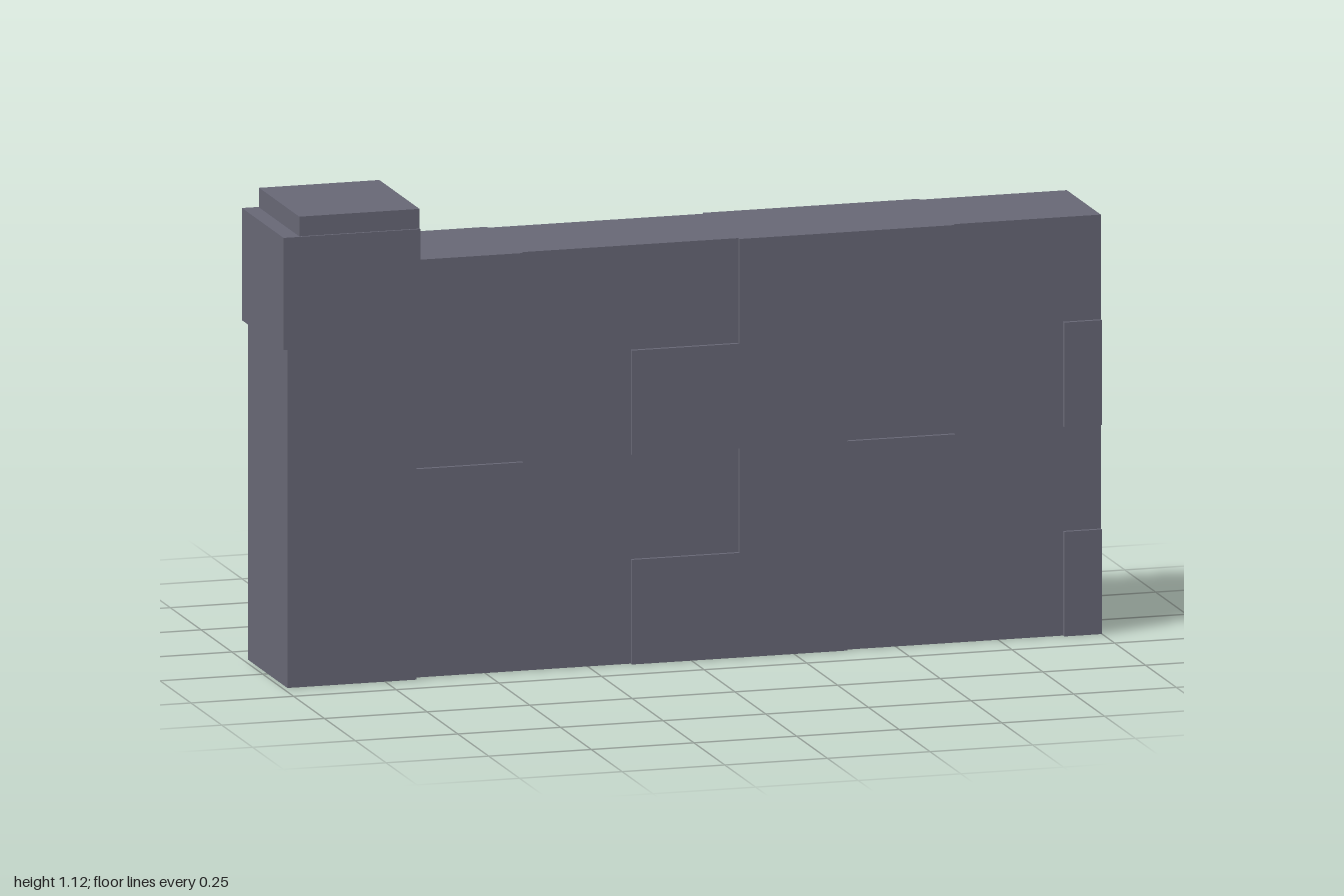
import * as THREE from 'three';

export function createModel() {
  const model = new THREE.Group();
  model.name = 'stoneWall';
  const stone = new THREE.MeshStandardMaterial({ color: 0x676775 });
  stone.name = 'greyStone';

  // Box given by its low and high corners
  function block(name, [x0, y0, z0], [x1, y1, z1]) {
    const mesh = new THREE.Mesh(new THREE.BoxGeometry(x1 - x0, y1 - y0, z1 - z0), stone);
    mesh.position.set((x0 + x1) / 2, (y0 + y1) / 2, (z0 + z1) / 2);
    mesh.name = name;
    model.add(mesh);
  }

  // End post with its stepped cap
  block('post', [-0.988, 0, -0.16], [-0.673, 0.81, 0.16]);
  block('postCap', [-1, 0.81, -0.169], [-0.667, 1.078, 0.169]);
  block('postCapTop', [-0.96, 1.078, -0.163], [-0.667, 1.125, 0.163]);

  // Wall core
  const core = 0.138, proud = 0.148;
  block('wallCore', [-0.673, 0, -core], [1, 1, core]);

  // Raised bricks, staggered by row and repeated on both faces
  const evenRow = [[-0.145, 0.38], [0.908, 1]];
  const oddRow = [[-0.673, -0.41], [0.117, 0.642]];
  for (let row = 0; row < 4; row++) {
    for (const [x0, x1] of row % 2 ? oddRow : evenRow) {
      const y0 = row * 0.25, y1 = y0 + 0.25;
      block('frontBrick', [x0, y0, core], [x1, y1, proud]);
      block('backBrick', [x0, y0, -proud], [x1, y1, -core]);
    }
  }
  return model;
}
